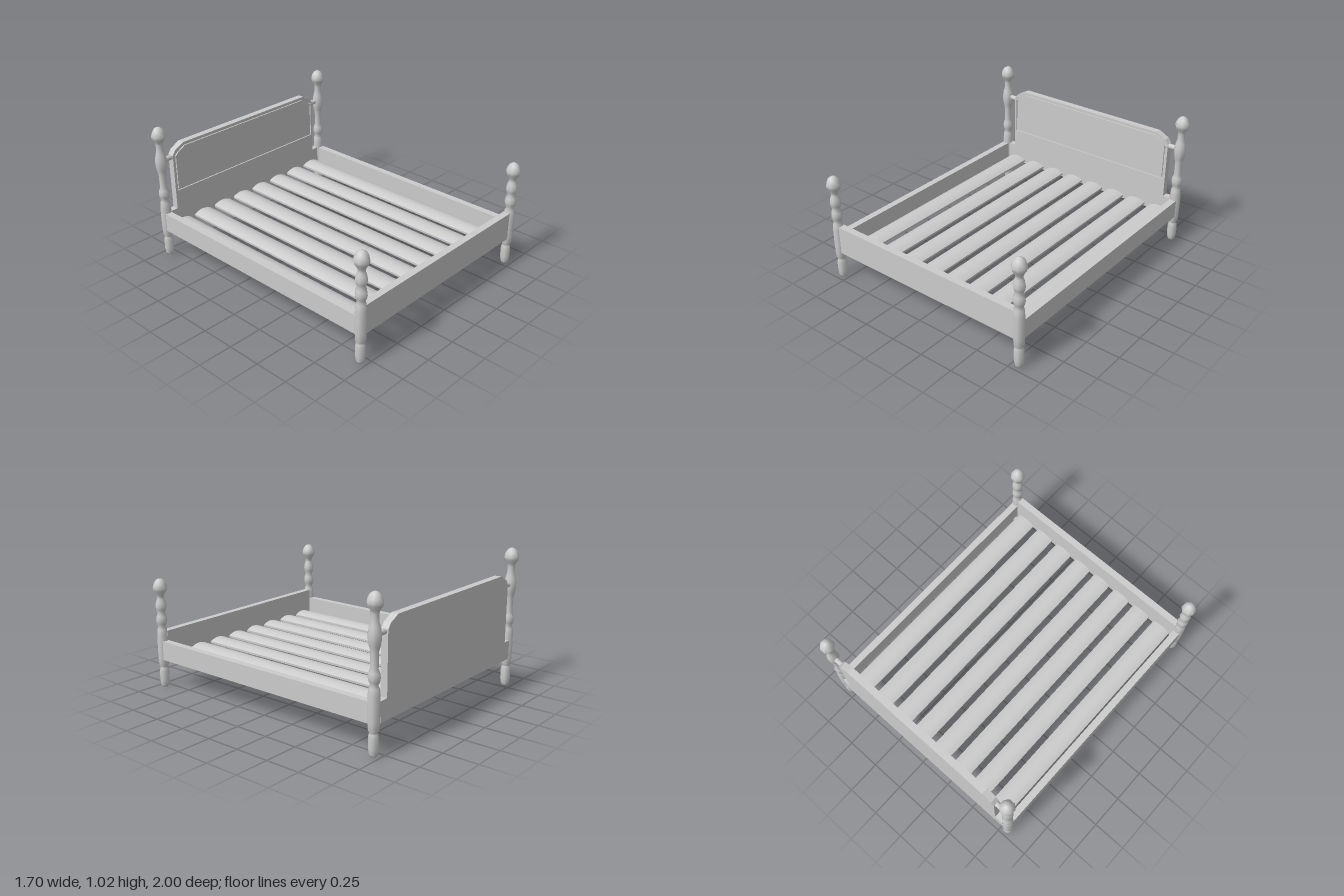
import * as THREE from 'three';

const material = new THREE.MeshStandardMaterial({ color: 0xcccccc, side: THREE.DoubleSide });

export function createModel() {
  const bed = new THREE.Group();
  bed.name = 'bed';

  const add = (name, geometry, x = 0, y = 0, z = 0) => {
    const mesh = new THREE.Mesh(geometry, material);
    mesh.name = name;
    mesh.position.set(x, y, z);
    bed.add(mesh);
    return mesh;
  };
  const extrude = (shape, depth) =>
    new THREE.ExtrudeGeometry(shape, { depth, bevelEnabled: false });

  // Turned posts: eight-sided lathe, flats facing front and sides
  const lathe = (profile) => {
    const k = 1 / Math.cos(Math.PI / 8);
    const points = profile.map(([r, y]) => new THREE.Vector2(r * k, y));
    return new THREE.LatheGeometry(points, 8, Math.PI / 8);
  };
  const foot = [
    [0, 0], [0.022, 0], [0.027, 0.015], [0.032, 0.05], [0.032, 0.12], [0.027, 0.145],
    [0.024, 0.155], [0.033, 0.165], [0.036, 0.22], [0.037, 0.3], [0.036, 0.39],
    [0.032, 0.435], [0.024, 0.45],
  ];
  const finial = (top) => [
    [0.024, top - 0.13], [0.03, top - 0.11], [0.045, top - 0.085], [0.049, top - 0.065],
    [0.043, top - 0.04], [0.03, top - 0.015], [0.014, top - 0.003], [0, top],
  ];
  const frontProfile = [
    ...foot, [0.033, 0.475], [0.038, 0.5], [0.034, 0.53], [0.024, 0.555],
    [0.034, 0.58], [0.038, 0.605], [0.033, 0.635], [0.024, 0.66], ...finial(0.805),
  ];
  const backProfile = [
    ...foot, [0.033, 0.475], [0.037, 0.5], [0.033, 0.53], [0.024, 0.555],
    [0.025, 0.66], [0.033, 0.69], [0.039, 0.73], [0.039, 0.77], [0.033, 0.81],
    [0.025, 0.84], ...finial(1.02),
  ];
  const frontPost = lathe(frontProfile), backPost = lathe(backProfile);

  for (const side of [-1, 1]) {
    const label = side > 0 ? 'left' : 'right';
    add(label + 'FrontPost', frontPost, side * 0.8, 0, 0.95);
    add(label + 'BackPost', backPost, side * 0.8, 0, -0.95);
    add(label + 'SideRail', new THREE.BoxGeometry(0.05, 0.14, 1.86), side * 0.8, 0.28, 0);
    // Round peg joining headboard to post
    const peg = add(label + 'HeadboardPeg', new THREE.CylinderGeometry(0.02, 0.02, 0.12, 8),
      side * 0.745, 0.76, -0.952);
    peg.rotation.z = Math.PI / 2;
  }

  add('footboard', new THREE.BoxGeometry(1.55, 0.21, 0.05), 0, 0.315, 0.947);

  // Headboard outline: wide foot, clipped top corners
  const mirrored = (half) => [...half, ...half.map(([x, y]) => [-x, y]).reverse()]
    .map(([x, y]) => new THREE.Vector2(x, y));
  const outline = mirrored([[0.775, 0.21], [0.775, 0.35], [0.71, 0.35], [0.71, 0.775],
    [0.685, 0.81], [0.61, 0.85]]);
  const panelOutline = (d) => mirrored([[0.695 - d, 0.49 + d], [0.695 - d, 0.77 - d * 0.5],
    [0.67 - d * 0.8, 0.797 - d * 0.8], [0.602 - d * 0.4, 0.835 - d]]);

  add('headboardBack', extrude(new THREE.Shape(outline), 0.04), 0, 0, -0.98);
  // Front layer is cut so a narrow groove surrounds the panel
  const frame = new THREE.Shape(outline);
  frame.holes.push(new THREE.Path(panelOutline(0)));
  add('headboardFrame', extrude(frame, 0.01), 0, 0, -0.94);
  add('headboardPanel', extrude(new THREE.Shape(panelOutline(0.013)), 0.01), 0, 0, -0.94);

  // Slats: gently arched strips running the length of the bed
  const slatShape = new THREE.Shape();
  slatShape.moveTo(-0.074, 0.225);
  slatShape.lineTo(-0.074, 0.24);
  slatShape.quadraticCurveTo(0, 0.28, 0.074, 0.24);
  slatShape.lineTo(0.074, 0.225);
  slatShape.quadraticCurveTo(0, 0.265, -0.074, 0.225);
  const slat = extrude(slatShape, 1.86);
  for (let i = 0; i < 8; i++) add('slat' + (i + 1), slat, (i - 3.5) * 0.1935, 0, -0.935);

  return bed;
}
